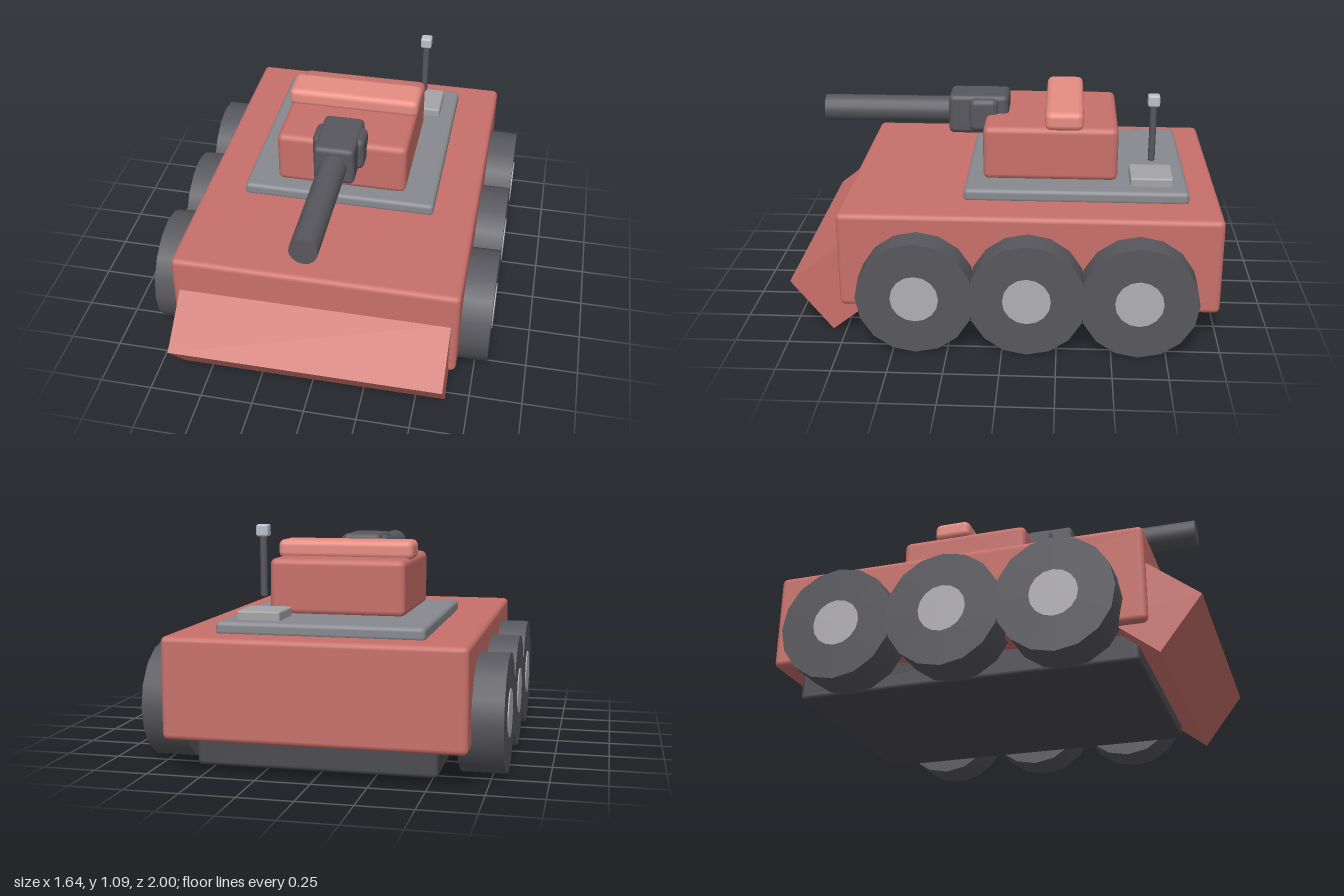
import * as THREE from 'three';
import { RoundedBoxGeometry } from 'three/addons/geometries/RoundedBoxGeometry.js';

const paint = (color) => new THREE.MeshStandardMaterial({ color });
const RED = paint(0xc8706a);
const LIGHT_RED = paint(0xe68c82);
const DARK = paint(0x57575d);
const CHASSIS = paint(0x4a4a50);
const PLATE = paint(0x88898f);
const PAD = paint(0xa4a4a6);
const HUB = paint(0xb0aeb4);
const TIP = paint(0xb8c0ca);

function add(parent, name, geometry, material, x, y, z) {
  const mesh = new THREE.Mesh(geometry, material);
  mesh.name = name;
  mesh.position.set(x, y, z);
  parent.add(mesh);
  return mesh;
}

// Softly bevelled box given by its limits on each axis
function block(parent, name, material, [x0, x1], [y0, y1], [z0, z1], bevel) {
  const geometry = new RoundedBoxGeometry(x1 - x0, y1 - y0, z1 - z0, 2, bevel);
  return add(parent, name, geometry, material, (x0 + x1) / 2, (y0 + y1) / 2, (z0 + z1) / 2);
}

export function createModel() {
  const model = new THREE.Group();
  model.name = 'armouredVehicle';

  // Body
  block(model, 'hull', RED, [-0.675, 0.675], [0.16, 0.62], [-1, 0.765], 0.025);
  block(model, 'chassis', CHASSIS, [-0.54, 0.54], [0.035, 0.25], [-0.92, 0.7], 0.02);
  block(model, 'deckPlate', PLATE, [-0.47, 0.47], [0.61, 0.673], [-0.855, 0.197], 0.02);

  // Wedge at the front: a square bar turned on its edge
  const wedge = add(model, 'frontWedge', new THREE.BoxGeometry(1.28, 0.312, 0.312), RED, 0, 0.236, 0.781);
  wedge.rotation.x = 0.665;

  // Three wheels on each side
  const tyre = new THREE.CylinderGeometry(0.27, 0.27, 0.2, 16).rotateZ(Math.PI / 2);
  const hub = new THREE.CylinderGeometry(0.11, 0.11, 0.21, 16).rotateZ(Math.PI / 2);
  for (const side of [-1, 1]) {
    for (const z of [0.394, -0.114, -0.621]) {
      const wheel = new THREE.Group();
      wheel.name = side > 0 ? 'leftWheel' : 'rightWheel';
      wheel.position.set(side * 0.713, 0.273, z);
      add(wheel, 'tyre', tyre, DARK, 0, 0, 0);
      add(wheel, 'hub', hub, HUB, 0, 0, 0);
      model.add(wheel);
    }
  }

  // Turret with gun
  const turret = new THREE.Group();
  turret.name = 'turret';
  model.add(turret);
  block(turret, 'turretBody', RED, [-0.32, 0.32], [0.665, 0.928], [-0.525, 0.115], 0.03);
  block(turret, 'turretTopBar', LIGHT_RED, [-0.327, 0.327], [0.914, 1.005], [-0.36, -0.178], 0.03);
  block(turret, 'mantlet', DARK, [-0.098, 0.098], [0.82, 1.014], [0.004, 0.298], 0.025);
  block(turret, 'mantletCheeks', DARK, [-0.125, 0.125], [0.835, 1.002], [0.054, 0.196], 0.03);
  const barrel = new THREE.CylinderGeometry(0.065, 0.065, 0.7, 16).rotateX(Math.PI / 2);
  add(turret, 'barrel', barrel, DARK, 0, 0.916, 0.567);

  // Antenna above its mounting pad
  block(model, 'antennaPad', PAD, [0.194, 0.394], [0.665, 0.715], [-0.785, -0.583], 0.01);
  add(model, 'antennaMast', new THREE.CylinderGeometry(0.016, 0.016, 0.28, 10), DARK, 0.295, 0.913, -0.682);
  block(model, 'antennaTip', TIP, [0.267, 0.323], [1.04, 1.095], [-0.71, -0.654], 0.01);

  return model;
}
